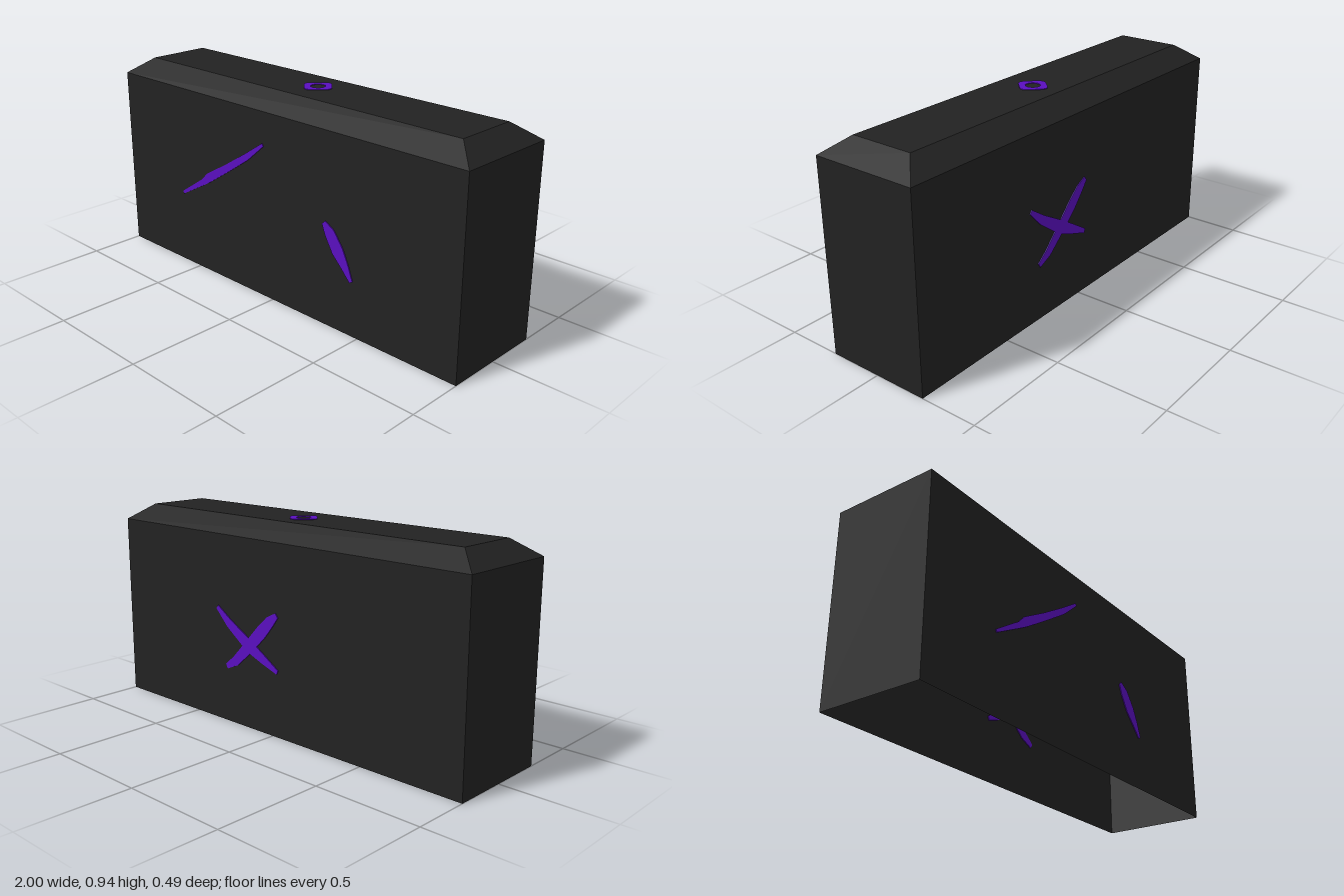
import * as THREE from 'three';

const W = 1, D = 0.243, SHOULDER = 0.862, TOP = 0.935;

export function createModel() {
  const group = new THREE.Group();
  const shellMat = new THREE.MeshStandardMaterial({ color: 0x222222, side: THREE.DoubleSide, flatShading: true });
  shellMat.name = 'charcoal';
  const markMat = new THREE.MeshStandardMaterial({ color: 0x5a0fc0, flatShading: true });
  markMat.name = 'violet';

  const add = (name, geometry, material) => {
    const mesh = new THREE.Mesh(geometry, material);
    mesh.name = name;
    group.add(mesh);
    return mesh;
  };

  // Hollow shell, open at the bottom: stacked rectangles joined by walls, plus a lid
  const rings = [[W, D, 0], [W, D, SHOULDER], [0.9, 0.147, TOP]].map(([x, z, y]) =>
    [[-x, y, z], [x, y, z], [x, y, -z], [-x, y, -z]]);
  const verts = [];
  const quad = (a, b, c, d) => verts.push(...a, ...b, ...c, ...a, ...c, ...d);
  for (let r = 0; r < 2; r++) {
    for (let i = 0; i < 4; i++) {
      const j = (i + 1) % 4;
      quad(rings[r][i], rings[r][j], rings[r + 1][j], rings[r + 1][i]);
    }
  }
  quad(...rings[2]);
  const shell = new THREE.BufferGeometry();
  shell.setAttribute('position', new THREE.Float32BufferAttribute(verts, 3));
  shell.computeVertexNormals();
  add('shell', shell, shellMat);

  // Thin tapering streak through points [x, y, halfWidth], set into a wall at depth z
  const streak = (name, points, z) => {
    const left = [], right = [];
    points.forEach(([x, y, w], i) => {
      const a = points[Math.max(i - 1, 0)], b = points[Math.min(i + 1, points.length - 1)];
      const n = new THREE.Vector2(a[1] - b[1], b[0] - a[0]).normalize().multiplyScalar(w);
      left.push(new THREE.Vector2(x + n.x, y + n.y));
      right.unshift(new THREE.Vector2(x - n.x, y - n.y));
    });
    const geometry = new THREE.ExtrudeGeometry(new THREE.Shape([...left, ...right]),
      { depth: 0.008, bevelEnabled: false });
    add(name, geometry.translate(0, 0, z - 0.004), markMat);
  };

  // Front streaks
  streak('frontLongStreak', [[-0.6, 0.352, 0.007], [-0.45, 0.442, 0.014], [-0.41, 0.473, 0.021],
    [-0.28, 0.552, 0.017], [-0.15, 0.636, 0.015], [-0.045, 0.715, 0.007]], D);
  streak('frontShortStreak', [[0.312, 0.468, 0.012], [0.345, 0.43, 0.03], [0.39, 0.362, 0.034],
    [0.43, 0.305, 0.022], [0.465, 0.248, 0.009]], D);

  // Crossed streaks on the back
  streak('backStreakA', [[0.346, 0.528, 0.01], [0.27, 0.465, 0.021], [0.14, 0.382, 0.03],
    [0.05, 0.338, 0.021], [-0.034, 0.298, 0.01]], -D);
  streak('backStreakB', [[0.29, 0.261, 0.012], [0.23, 0.297, 0.022], [0.14, 0.382, 0.028],
    [0.06, 0.463, 0.03], [0.01, 0.515, 0.025], [-0.032, 0.55, 0.012]], -D);

  // Rounded diamond ring on the lid
  const r = 0.084, c = 0.028;
  const diamond = new THREE.Shape();
  diamond.moveTo(r - c, -c);
  [[1, 0], [0, 1], [-1, 0], [0, -1]].forEach(([x, y]) => {
    diamond.lineTo(x * (r - c) + y * c, y * (r - c) - x * c);
    diamond.quadraticCurveTo(x * r * 1.04, y * r * 1.04, x * (r - c) - y * c, y * (r - c) + x * c);
  });
  diamond.closePath();
  diamond.holes.push(new THREE.Path().absarc(0, 0, 0.033, 0, Math.PI * 2, true));
  const ring = new THREE.ExtrudeGeometry(diamond, { depth: 0.006, bevelEnabled: false, curveSegments: 6 });
  ring.rotateX(-Math.PI / 2).translate(0.033, TOP - 0.003, -0.01);
  add('lidRing', ring, markMat);

  return group;
}
